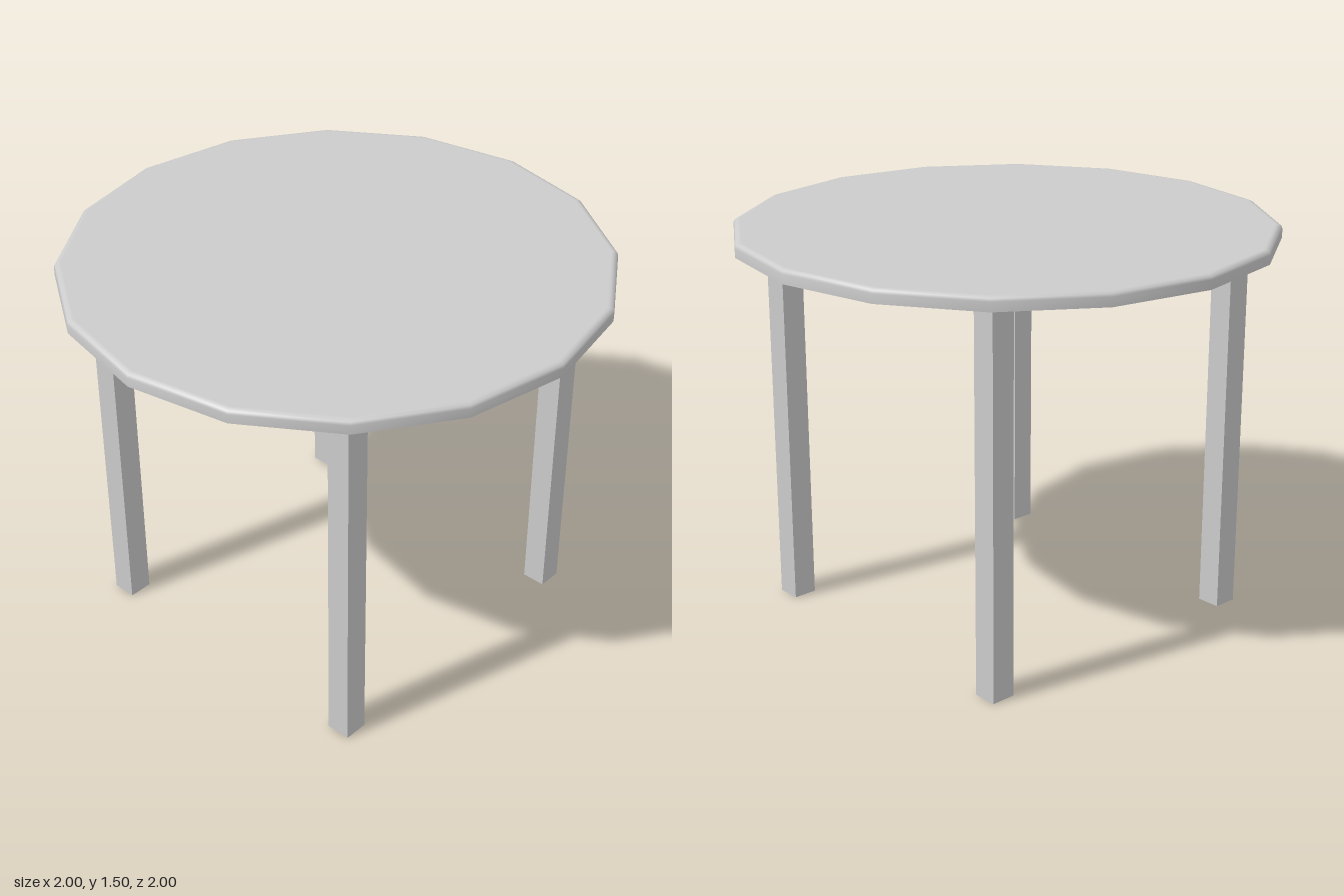
import * as THREE from 'three';

export function createModel() {
  const model = new THREE.Group();
  const material = new THREE.MeshStandardMaterial({ color: 0xcccccc, side: THREE.DoubleSide });
  const sides = 16, underside = 1.447, top = 1.497;

  // Sixteen-sided table top with a softly bevelled upper rim
  const tableTop = new THREE.Group();
  tableTop.name = 'tableTop';
  const profile = [
    [1, underside], [1, 1.481], [0.995, 1.491], [0.984, top], [0.975, top], [0, top],
  ].map(([r, y]) => new THREE.Vector2(r, y));
  const slab = new THREE.Mesh(new THREE.LatheGeometry(profile, sides), material);
  slab.name = 'topSlab';

  // Flat underside closing the slab
  const base = new THREE.Mesh(new THREE.CircleGeometry(1, sides), material);
  base.name = 'topUnderside';
  base.rotation.x = Math.PI / 2;
  base.position.y = underside;
  tableTop.add(slab, base);
  model.add(tableTop);

  // Four square tube legs, open at the foot
  const width = 0.092, offset = 0.578;
  const legGeometry = new THREE.CylinderGeometry(
    width / Math.SQRT2, width / Math.SQRT2, underside, 4, 1, true, Math.PI / 4,
  ).toNonIndexed();
  legGeometry.computeVertexNormals();
  for (const [sx, xName] of [[1, 'Left'], [-1, 'Right']]) {
    for (const [sz, zName] of [[1, 'front'], [-1, 'back']]) {
      const leg = new THREE.Mesh(legGeometry, material);
      leg.name = `${zName}${xName}Leg`;
      leg.position.set(sx * offset, underside / 2, sz * offset);
      model.add(leg);
    }
  }
  return model;
}
